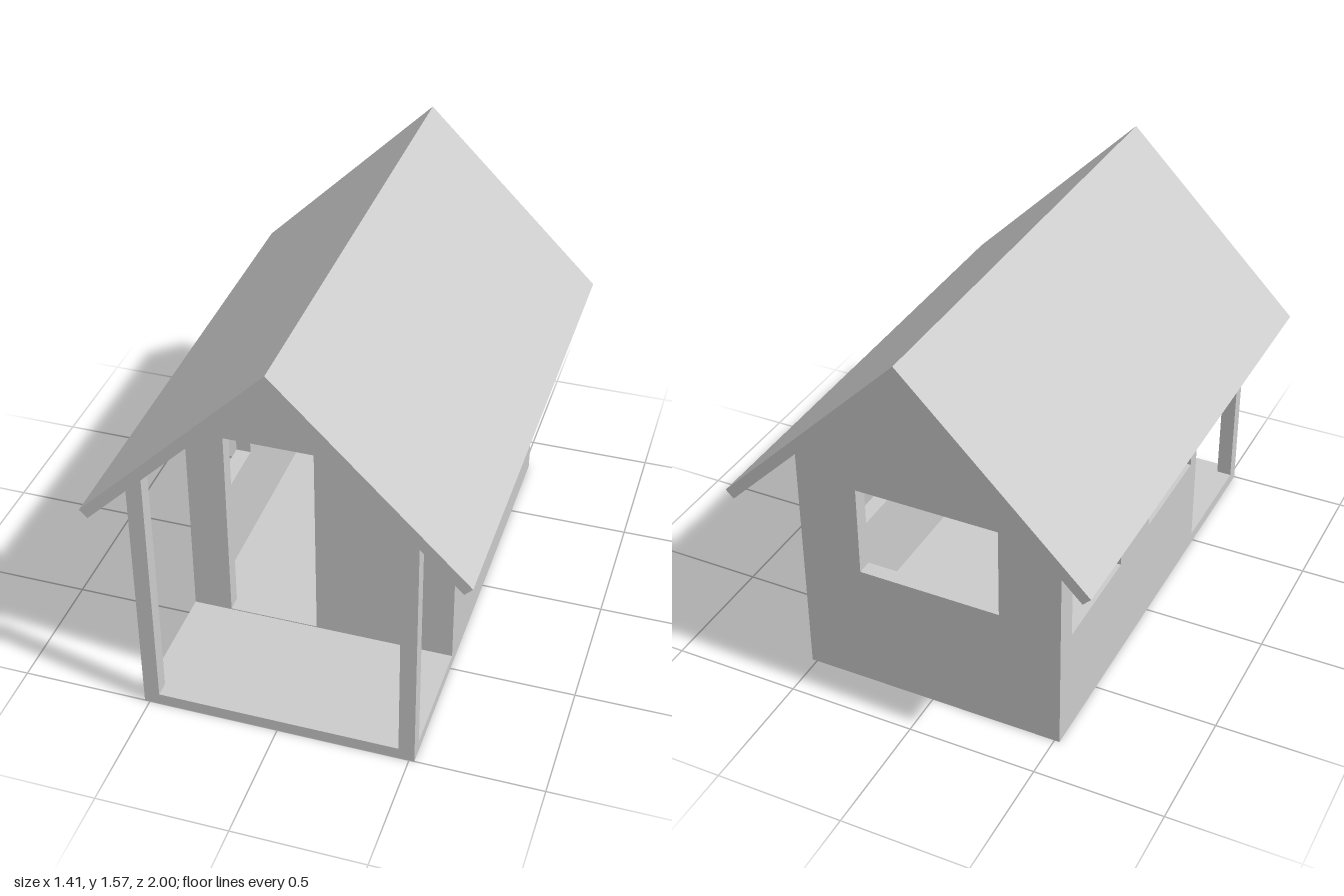
import * as THREE from 'three';

const HALF_W = 0.52, WALL = 0.06, IN_W = HALF_W - WALL;
const FLOOR = 0.046, RIDGE = 1.505; // RIDGE: underside of the roof at the peak
const BACK = -0.825, FRONT = 1;

const points = (list) => list.map(([x, y]) => new THREE.Vector2(x, y));
const rect = (x0, x1, y0, y1) => new THREE.Path(points([[x0, y0], [x1, y0], [x1, y1], [x0, y1]]));

function extrude(outline, holes, depth) {
  const shape = new THREE.Shape(points(outline));
  shape.holes.push(...holes);
  return new THREE.ExtrudeGeometry(shape, { depth, bevelEnabled: false });
}

export function createModel() {
  const model = new THREE.Group();
  const material = new THREE.MeshStandardMaterial({ color: 0xcccccc, flatShading: true });
  const add = (name, geometry) => {
    const mesh = new THREE.Mesh(geometry, material);
    mesh.name = name;
    model.add(mesh);
    return mesh;
  };

  // Floor slab, running out under the porch
  add('floor', new THREE.BoxGeometry(IN_W * 2, FLOOR, FRONT - BACK))
    .position.set(0, FLOOR / 2, (FRONT + BACK) / 2);

  // Side walls: two windows, an open porch bay and a corner post
  for (const side of [1, -1]) {
    const top = 1.04;
    const geometry = extrude(
      [[BACK, 0], [FRONT, 0], [FRONT, top], [0.943, top], [0.943, FLOOR], [0.48, FLOOR], [0.48, top], [BACK, top]],
      [rect(-0.02, 0.42, 0.434, 0.787), rect(-0.73, -0.29, 0.434, 0.787)],
      WALL
    );
    geometry.rotateY(-Math.PI / 2).translate(side > 0 ? HALF_W : -IN_W, 0, 0);
    // Cut the wall tops to the roof pitch
    const p = geometry.attributes.position;
    for (let i = 0; i < p.count; i++) {
      if (p.getY(i) > 1) p.setY(i, RIDGE - Math.abs(p.getX(i)));
    }
    geometry.computeVertexNormals();
    add(side > 0 ? 'leftWall' : 'rightWall', geometry);
  }

  // Gable walls: the back one with a window, the porch one with a doorway
  const gable = [[-IN_W, 0], [IN_W, 0], [IN_W, RIDGE - IN_W], [0, RIDGE], [-IN_W, RIDGE - IN_W]];
  add('backWall', extrude(gable, [rect(-0.28, 0.28, 0.51, 0.875)], WALL)).position.z = BACK;
  add('doorWall', extrude(gable, [rect(-0.37, -0.02, 0.05, 0.875)], WALL)).position.z = 0.42;

  // Pitched roof with square-cut eaves
  const roof = [[0, RIDGE + 0.06], [-0.705, 0.86], [-0.675, 0.83], [0, RIDGE], [0.675, 0.83], [0.705, 0.86]];
  add('roof', extrude(roof, [], 2)).position.z = -1;

  return model;
}
